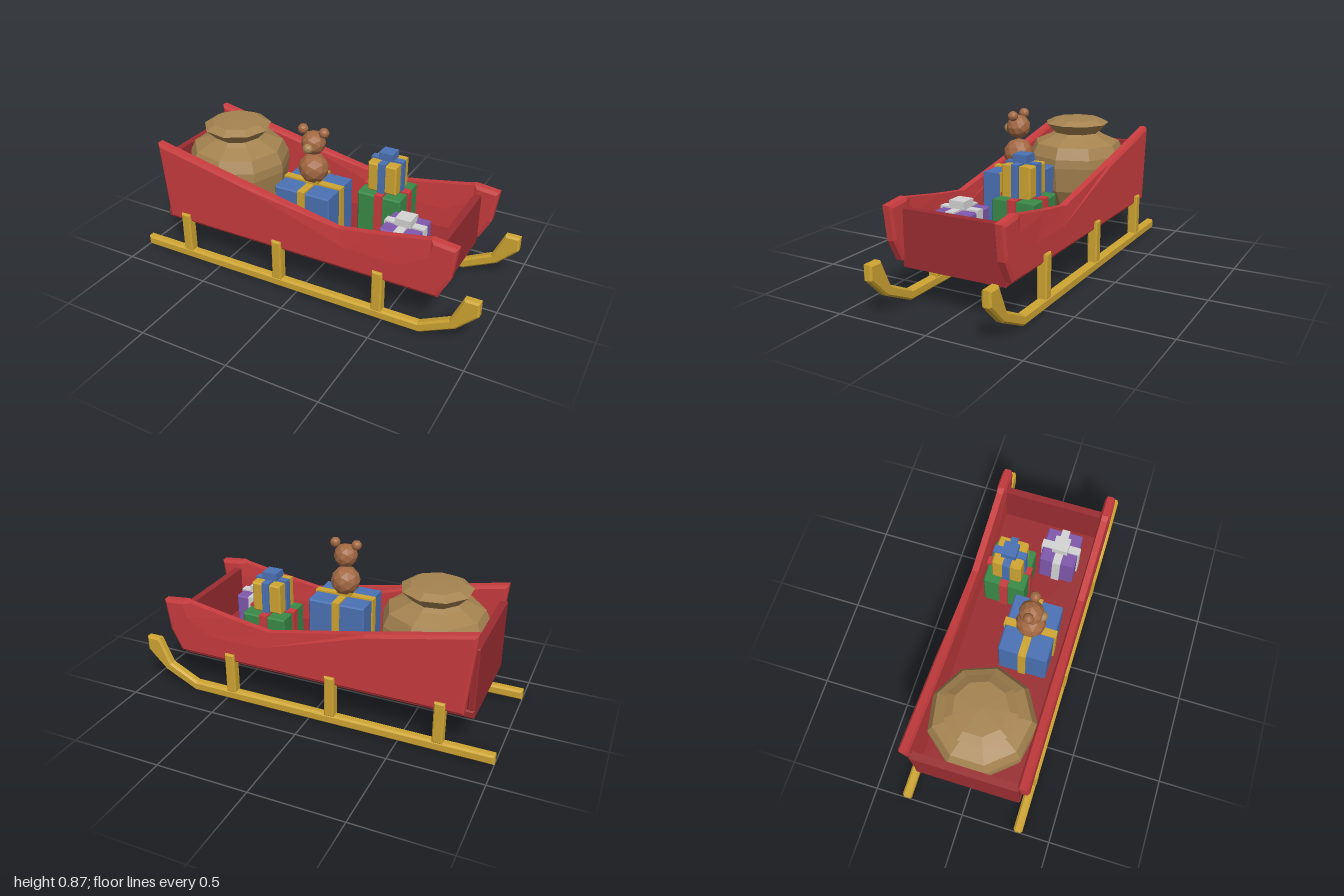
import * as THREE from 'three';

const mat = (name, color) => {
  const m = new THREE.MeshStandardMaterial({ color, flatShading: true });
  m.name = name;
  return m;
};

export function createModel() {
  const red = mat('bright red', 0xc83c3e), darkRed = mat('dark red', 0x9a2c30);
  const gold = mat('gold', 0xcfa532), tan = mat('sackcloth tan', 0xa58350);
  const brown = mat('bear brown', 0xa26842), blue = mat('blue', 0x4a72b4);
  const green = mat('green', 0x3a8a48), purple = mat('purple', 0x8058ac);
  const white = mat('white', 0xd4d4d4);
  const model = new THREE.Group();
  model.name = 'sleigh';

  const add = (parent, name, geometry, material, x = 0, y = 0, z = 0) => {
    const mesh = new THREE.Mesh(geometry, material);
    mesh.name = name;
    mesh.position.set(x, y, z);
    parent.add(mesh);
    return mesh;
  };

  // Extruded outline with chamfered edges, centred in z
  const prism = (points, depth, bevel) => {
    const shape = new THREE.Shape(points.map(([x, y]) => new THREE.Vector2(x, y)));
    return new THREE.ExtrudeGeometry(shape, {
      depth: depth - 2 * bevel, bevelEnabled: true, bevelSegments: 1,
      bevelSize: bevel, bevelThickness: bevel, bevelOffset: -bevel,
    }).translate(0, 0, bevel - depth / 2);
  };
  const chamferBox = (w, h, d, bevel) =>
    prism([[-w / 2, -h / 2], [w / 2, -h / 2], [w / 2, h / 2], [-w / 2, h / 2]], d, bevel);

  // Side panel: outer rim joined to smaller flat faces by a sloping bevel
  const panelGeometry = () => {
    const rim = [[-0.866, 0.68], [-0.3, 0.562], [0.235, 0.457], [0.45, 0.49], [0.7, 0.535],
      [0.73, 0.545], [0.865, 0.53], [0.84, 0.35], [0.78, 0.235], [-0.825, 0.235]].reverse();
    const face = [[-0.852, 0.66], [-0.3, 0.545], [0.28, 0.36], [0.58, 0.36], [0.73, 0.45],
      [0.745, 0.525], [0.85, 0.515], [0.826, 0.36], [0.77, 0.247], [-0.812, 0.247]].reverse();
    const n = rim.length, pos = [], idx = [];
    [[face, -0.0285], [rim, -0.018], [rim, 0.018], [face, 0.0285]].forEach(([ring, z]) =>
      ring.forEach(([x, y]) => pos.push(x, y, z)));
    for (let k = 0; k < 3; k++) {
      for (let i = 0; i < n; i++) {
        const a = k * n + i, b = k * n + (i + 1) % n;
        idx.push(a, b, b + n, a, b + n, a + n);
      }
    }
    const contour = face.map(([x, y]) => new THREE.Vector2(x, y));
    THREE.ShapeUtils.triangulateShape(contour, []).forEach(([a, b, c]) =>
      idx.push(a + 3 * n, b + 3 * n, c + 3 * n, c, b, a));
    const g = new THREE.BufferGeometry();
    g.setAttribute('position', new THREE.Float32BufferAttribute(pos, 3));
    g.setIndex(idx);
    const flat = g.toNonIndexed();
    flat.computeVertexNormals();
    return flat;
  };

  // Tub
  const body = new THREE.Group();
  body.name = 'body';
  model.add(body);
  add(body, 'floor', chamferBox(1.64, 0.045, 0.586, 0.008), darkRed, -0.05, 0.2245, 0);
  add(body, 'frontWall', chamferBox(0.04, 0.27, 0.572, 0.006), darkRed, 0.755, 0.362, 0);
  add(body, 'backWall', chamferBox(0.04, 0.36, 0.572, 0.006), darkRed, -0.85, 0.408, 0);

  // Side panels, runners and posts, mirrored
  const runner = [[-1, 0], [0.705, 0], [0.89, 0.09], [1, 0.2], [1, 0.28],
    [0.92, 0.28], [0.855, 0.135], [0.695, 0.055], [-1, 0.055]];
  for (const [side, s] of [['left', 1], ['right', -1]]) {
    add(body, side + 'Panel', panelGeometry(), red, 0, 0, s * 0.3035);
    add(model, side + 'Runner', prism(runner, 0.05, 0.01), gold, 0, 0, s * 0.32);
    for (const x of [-0.708, -0.12, 0.467]) {
      add(model, side + 'Post', chamferBox(0.056, 0.235, 0.056, 0.007), gold, x, 0.166, s * 0.32);
    }
  }

  // Sack with pinched neck and flared collar
  const profile = [[0, 0.245], [0.2, 0.245], [0.268, 0.36], [0.286, 0.5], [0.282, 0.55], [0.252, 0.615],
    [0.16, 0.655], [0.132, 0.672], [0.187, 0.727], [0.14, 0.752], [0, 0.757]];
  const sack = add(model, 'sack',
    new THREE.LatheGeometry(profile.map(([r, y]) => new THREE.Vector2(r, y)), 9), tan, -0.563, 0, 0);
  sack.rotation.y = Math.PI / 2;

  // Gifts: box, crossed ribbons and an optional square bow
  const gift = (name, [x, y, z], [w, h, d], paper, ribbon, band, bow) => {
    const g = new THREE.Group();
    g.name = name;
    g.position.set(x, y, z);
    model.add(g);
    const t = 0.009;
    add(g, 'box', chamferBox(w, h, d, 0.007), paper, 0, h / 2, 0);
    add(g, 'ribbonAcross', new THREE.BoxGeometry(w + 2 * t, h + t, band), ribbon, 0, (h + t) / 2, 0);
    add(g, 'ribbonAlong', new THREE.BoxGeometry(band, h + t, d + 2 * t), ribbon, 0, (h + t) / 2, 0);
    if (bow) add(g, 'bow', new THREE.BoxGeometry(bow, 0.04, bow), ribbon, 0, h + t + 0.02, 0);
  };
  gift('blueGift', [-0.025, 0.246, 0.095], [0.32, 0.3, 0.268], blue, gold, 0.042, 0.08);
  gift('greenGift', [0.305, 0.246, -0.122], [0.245, 0.25, 0.232], green, red, 0.045, 0);
  gift('goldGift', [0.305, 0.506, -0.118], [0.162, 0.16, 0.162], gold, blue, 0.04, 0.08);
  gift('purpleGift', [0.515, 0.246, 0.115], [0.2, 0.207, 0.2], purple, white, 0.045, 0.086);

  // Toy bear seated on the blue gift
  const bear = new THREE.Group();
  bear.name = 'toyBear';
  bear.position.set(-0.025, 0, 0.095);
  model.add(bear);
  const ball = (name, r, m, x, y, z) => add(bear, name, new THREE.IcosahedronGeometry(r, 1), m, x, y, z);
  ball('bearBody', 0.081, brown, 0, 0.633, 0);
  ball('bearHead', 0.065, brown, 0, 0.778, 0);
  ball('bearMuzzle', 0.028, tan, 0, 0.767, 0.058);
  for (const s of [-1, 1]) ball('bearEar', 0.028, brown, s * 0.061, 0.843, 0);

  return model;
}
